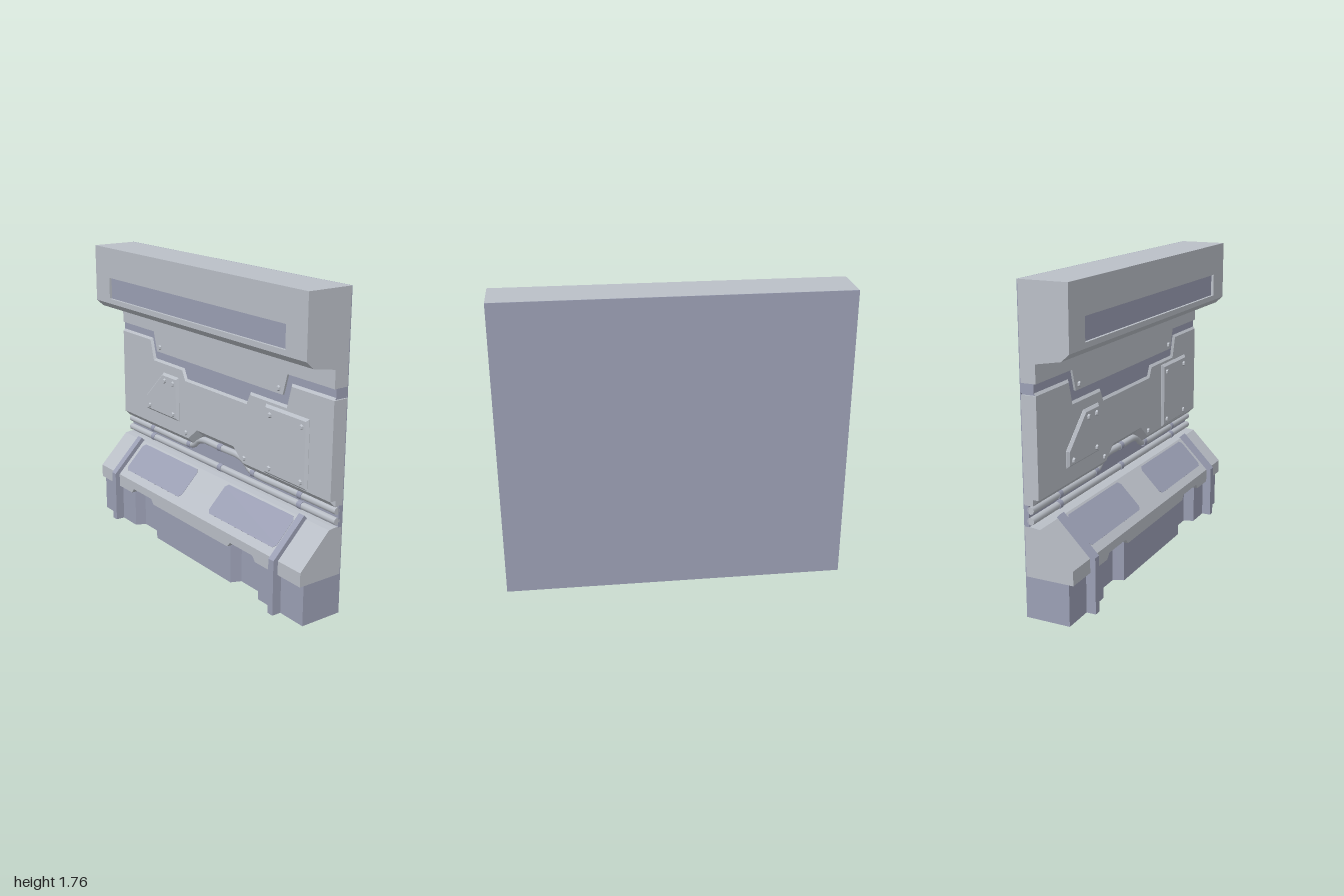
import * as THREE from 'three';

export function createModel() {
  const model = new THREE.Group();
  model.name = 'wallPanel';
  const grey = new THREE.MeshStandardMaterial({ color: 0xbabfc7 });
  grey.name = 'light grey';
  const slate = new THREE.MeshStandardMaterial({ color: 0x9b9fb4 });
  slate.name = 'blue grey';
  const greySheet = new THREE.MeshStandardMaterial({ color: 0xbabfc7, side: THREE.DoubleSide });
  greySheet.name = 'light grey two sided';

  const BACK = -0.151, FACE = -0.065;

  const add = (name, geo, mat, parent = model) => {
    const m = new THREE.Mesh(geo, mat);
    m.name = name;
    parent.add(m);
    return m;
  };
  const shapeOf = (pts) => new THREE.Shape(pts.map(([x, y]) => new THREE.Vector2(x, y)));
  // Outline in x,y pushed from z0 to z1
  const slab = (shape, z0, z1) =>
    new THREE.ExtrudeGeometry(shape, { depth: z1 - z0, bevelEnabled: false }).translate(0, 0, z0);
  // Profile in z,y swept along x
  const sweep = (pts, width, x = 0) =>
    slab(shapeOf(pts), -width / 2, width / 2).rotateY(-Math.PI / 2).translate(x, 0, 0);
  const box = (x0, x1, y0, y1, z0, z1) =>
    new THREE.BoxGeometry(x1 - x0, y1 - y0, z1 - z0)
      .translate((x0 + x1) / 2, (y0 + y1) / 2, (z0 + z1) / 2);
  // Sloped strip between two polylines of equal length
  const band = (a, za, b, zb) => {
    const pos = [];
    for (let i = 0; i < a.length - 1; i++) {
      const p = [...a[i], za], q = [...a[i + 1], za], r = [...b[i + 1], zb], s = [...b[i], zb];
      pos.push(...p, ...q, ...r, ...p, ...r, ...s);
    }
    const g = new THREE.BufferGeometry();
    g.setAttribute('position', new THREE.Float32BufferAttribute(pos, 3));
    g.computeVertexNormals();
    return g;
  };
  // Completes a left half polyline by mirroring it
  const mirror = (half) => [...half, ...half.map(([x, y]) => [-x, y]).reverse()];
  const reversed = (a) => [...a].reverse();

  // Back sheet
  add('backSheet', box(-1, 1, 0, 1.763, -0.155, BACK), slate);

  // Top block with a long recessed slot
  add('topBlock', sweep([[BACK, 1.355], [FACE, 1.355], [0.08, 1.38], [0.125, 1.42],
    [0.125, 1.43], [0.105, 1.43], [0.105, 1.763], [BACK, 1.763]], 2), grey);
  const frame = shapeOf([[-1, 1.43], [1, 1.43], [1, 1.763], [-1, 1.763]]);
  frame.holes.push(new THREE.Path(
    [[-0.84, 1.45], [-0.84, 1.58], [0.84, 1.58], [0.84, 1.45]].map((p) => new THREE.Vector2(...p))));
  add('slotFrame', slab(frame, 0.105, 0.125), grey);
  add('slotFloor', box(-0.84, 0.84, 1.45, 1.58, 0.104, 0.109), slate);

  // Upper panel above the stepped channel
  const channelTop = mirror([[-1, 1.255], [-0.64, 1.255], [-0.605, 1.135]]);
  add('upperPanel', slab(shapeOf([...channelTop, [1, 1.36], [-1, 1.36]]), BACK, FACE), grey);
  add('channelEnds', box(-1, 1, 1.205, 1.256, BACK, -0.077), slate);
  add('channelFloor', box(-0.99, 0.99, 0.95, 1.3, BACK, -0.077), slate);

  // Main panel with chamfered upper and lower edges
  const topOuter = mirror([[-1, 1.21], [-0.665, 1.21], [-0.63, 1.085], [-0.32, 1.085], [-0.29, 1.025]]);
  const topInner = mirror([[-1, 1.195], [-0.678, 1.195], [-0.643, 1.07], [-0.33, 1.07], [-0.3, 1.01]]);
  const lowInner = mirror([[-1, 0.655], [-0.27, 0.655], [-0.18, 0.73]]);
  const lowOuter = mirror([[-1, 0.62], [-0.255, 0.62], [-0.165, 0.695]]);
  add('mainPanel', slab(shapeOf([...lowInner, ...reversed(topInner)]), BACK, FACE), grey);
  add('mainPanelBacking', slab(shapeOf([...lowOuter, [1, 0.9], [-1, 0.9]]), BACK, -0.1), grey);
  add('upperChamfer', band(topInner, FACE, topOuter, -0.078), greySheet);
  add('lowerChamfer', band(lowOuter, -0.1, lowInner, FACE), greySheet);

  // Raised hatches
  const hatch = (name, pts) => {
    const bevel = 0.014;
    const g = new THREE.ExtrudeGeometry(shapeOf(pts), {
      depth: 0.004, bevelEnabled: true, bevelSegments: 1,
      bevelSize: bevel, bevelThickness: bevel, bevelOffset: -bevel });
    add(name, g.translate(0, 0, -0.067), grey);
  };
  hatch('cutCornerHatch', [[-0.72, 0.74], [-0.365, 0.74], [-0.365, 1.015], [-0.53, 1.015], [-0.72, 0.835]]);
  hatch('squareHatch', [[0.47, 0.66], [0.825, 0.66], [0.825, 1.055], [0.47, 1.055]]);

  // Hexagonal bolts: x, y, base z
  const boltGeo = new THREE.CylinderGeometry(0.013, 0.017, 0.012, 6).rotateX(Math.PI / 2).toNonIndexed();
  boltGeo.computeVertexNormals();
  const bolts = [
    ...[[-0.67, 0.775], [-0.41, 0.775], [-0.5, 0.97], [-0.41, 0.97],
      [0.52, 0.7], [0.78, 0.7], [0.52, 1.005], [0.78, 1.005]].map((p) => [...p, -0.049]),
    ...[[-0.57, 1.165], [0.57, 1.165], [-0.295, 0.685], [0.28, 0.685]].map((p) => [...p, FACE]),
  ];
  bolts.forEach(([x, y, z]) => add('bolt', boltGeo, grey).position.set(x, y, z + 0.005));

  // Pipe bay
  add('pipeBayEnds', box(-1, 1, 0.5, 0.622, BACK, -0.125), slate);
  add('pipeBayFloor', box(-0.35, 0.35, 0.5, 0.76, BACK, -0.124), slate);
  const PIPE_Z = -0.116, R = 0.021;
  const pipe = (name, pts, segments) => {
    const path = new THREE.CatmullRomCurve3(pts.map(([x, y]) => new THREE.Vector3(x, y, PIPE_Z)));
    add(name, new THREE.TubeGeometry(path, segments, R, 8), grey);
    for (const s of [-1, 1])
      add('pipeEnd', new THREE.CircleGeometry(R, 8).rotateY(s * Math.PI / 2).translate(s, pts[0][1], PIPE_Z), grey);
  };
  pipe('upperPipe', mirror([[-1, 0.594], [-0.6, 0.594], [-0.34, 0.594], [-0.28, 0.606],
    [-0.225, 0.646], [-0.165, 0.661], [-0.06, 0.661]]), 100);
  pipe('lowerPipe', mirror([[-1, 0.536], [-0.3, 0.536]]), 2);
  const clipGeo = new THREE.CylinderGeometry(0.0245, 0.0245, 0.034, 8).rotateZ(Math.PI / 2);
  [[-0.72, 0.594], [0.72, 0.594], [-0.72, 0.536], [0.72, 0.536], [-0.315, 0.597], [0.315, 0.597],
    [0, 0.661], [0, 0.536]].forEach(([x, y]) => add('pipeClip', clipGeo, slate).position.set(x, y, PIPE_Z));

  // Sloped ledge; its lower lip is interrupted by two arches
  add('ledge', sweep([[BACK, 0.26], [0.125, 0.26], [0.125, 0.31], [-0.063, 0.5], [-0.1, 0.505], [BACK, 0.505]], 2), grey);
  const lips = [
    [[-1, 0.23], [-0.63, 0.23], [-0.605, 0.26], [-1, 0.26]],
    [[-0.38, 0.23], [0.38, 0.23], [0.405, 0.26], [-0.405, 0.26]],
    [[0.63, 0.23], [1, 0.23], [1, 0.26], [0.605, 0.26]],
  ];
  lips.forEach((pts) => add('ledgeLip', slab(shapeOf(pts), BACK, 0.125), grey));

  // Inset pads lying on the slope
  const slope = new THREE.Group();
  slope.name = 'slopePads';
  slope.position.set(0, 0.31, 0.125);
  slope.rotation.x = -Math.atan2(0.188, 0.19);
  model.add(slope);
  for (const s of [-1, 1]) {
    const w = 0.305, h = 0.102, c = 0.02;
    const pad = shapeOf([[-w + c, -h], [w - c, -h], [w, -h + c], [w, h - c],
      [w - c, h], [-w + c, h], [-w, h - c], [-w, -h + c]]);
    add('pad', slab(pad, -0.002, 0.002), slate, slope).position.set(s * 0.445, 0.152, 0);
  }

  // Base with two recesses, drawn in plan
  const plan = [[-1, 0.1], [-0.63, 0.1], [-0.605, 0.04], [-0.405, 0.04], [-0.38, 0.1]];
  const baseShape = shapeOf([...mirror(plan), [1, BACK], [-1, BACK]].map(([x, z]) => [x, -z]).reverse());
  add('base', slab(baseShape, 0, 0.23).rotateX(-Math.PI / 2), slate);
  add('recessBack', box(-0.7, 0.7, 0.01, 0.26, -0.1, 0.0395), slate);

  // Bent struts over the ledge
  for (const s of [-1, 1])
    add('strut', sweep([[0.09, 0], [0.155, 0], [0.155, 0.317], [-0.05, 0.525], [-0.07, 0.505],
      [0.12, 0.31], [0.12, 0.23], [0.09, 0.23]], 0.042, s * 0.8), slate);

  return model;
}
